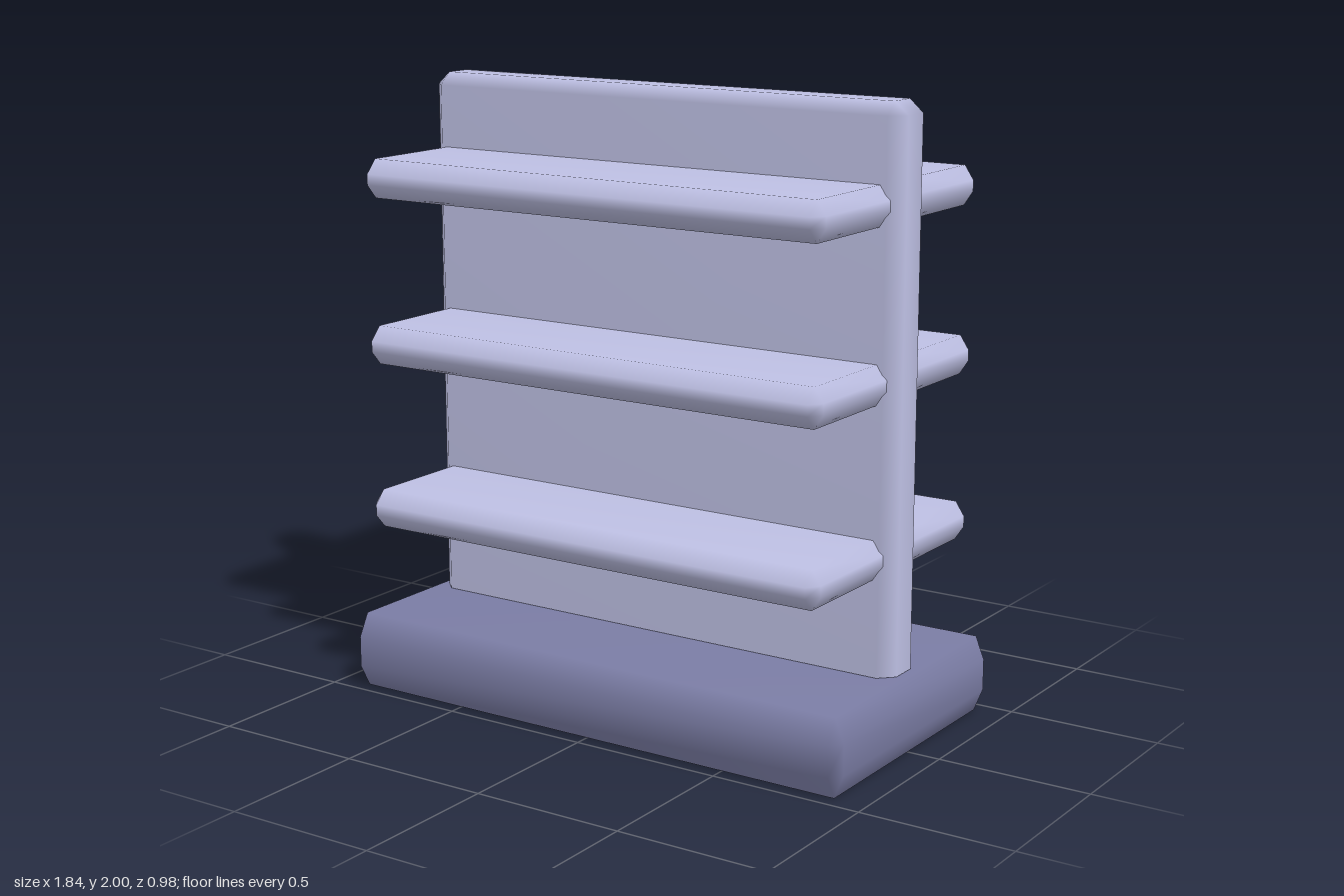
import * as THREE from 'three';

// Box with bevelled edges and softly blended normals.
// size and bevel are [x, y, z]; each corner owns one vertex per face axis.
// squareFoot drops the lower bevel; openBottom leaves out the bottom face.
function bevelBox(size, bevel, { squareFoot = false, openBottom = false } = {}) {
  const pos = [], index = [];
  for (let corner = 0; corner < 8; corner++) {
    const sign = [0, 1, 2].map(i => (corner >> i & 1 ? 1 : -1));
    for (let axis = 0; axis < 3; axis++) {
      for (let i = 0; i < 3; i++) {
        const full = i === axis || (squareFoot && i === 1 && sign[1] < 0);
        pos.push(sign[i] * (size[i] / 2 - (full ? 0 : bevel[i])));
      }
    }
  }
  const point = i => new THREE.Vector3().fromArray(pos, i * 3);
  // add a triangle facing away from the centre
  const tri = (a, b, c) => {
    const A = point(a), B = point(b), C = point(c);
    const n = B.clone().sub(A).cross(C.clone().sub(A));
    const out = n.dot(A.add(B).add(C)) > 0;
    index.push(a, out ? b : c, out ? c : b);
  };
  const quad = (a, b, c, d) => { tri(a, b, c); tri(a, c, d); };
  for (let axis = 0; axis < 3; axis++) {
    const u = (axis + 1) % 3, v = (axis + 2) % 3;
    const U = 1 << u, V = 1 << v, A = 1 << axis;
    // main faces
    for (const base of [0, A]) {
      if (openBottom && axis === 1 && base === 0) continue;
      const at = k => (base + k) * 3 + axis;
      quad(at(0), at(U), at(U + V), at(V));
    }
    // bevel strips running along this axis
    for (const k of [0, U, V, U + V]) {
      quad(k * 3 + u, (k + A) * 3 + u, (k + A) * 3 + v, k * 3 + v);
    }
  }
  // corner triangles
  for (let k = 0; k < 8; k++) tri(k * 3, k * 3 + 1, k * 3 + 2);

  const g = new THREE.BufferGeometry();
  g.setAttribute('position', new THREE.Float32BufferAttribute(pos, 3));
  g.setIndex(index);
  g.computeVertexNormals();
  return g;
}

export function createModel() {
  const group = new THREE.Group();
  group.name = 'shelfStand';

  const light = new THREE.MeshStandardMaterial({ color: 0xbec0e4 });
  light.name = 'pale lavender';
  const dark = new THREE.MeshStandardMaterial({ color: 0x7b7da5, side: THREE.DoubleSide });
  dark.name = 'slate lavender';

  const add = (name, geometry, y, z, material) => {
    const mesh = new THREE.Mesh(geometry, material);
    mesh.name = name;
    mesh.position.set(0, y, z);
    group.add(mesh);
  };

  // hollow plinth, open underneath
  add('base', bevelBox([1.84, 0.25, 0.98], [0.03, 0.075, 0.04], { openBottom: true }),
    0.125, 0, dark);

  // upright divider standing on the base
  add('backPanel', bevelBox([1.74, 1.748, 0.18], [0.045, 0.04, 0.045], { squareFoot: true }),
    1.126, 0, light);

  // three shelves on each side, ending inside the divider
  const shelf = bevelBox([1.67, 0.125, 0.47], [0.03, 0.045, 0.04]);
  for (const y of [0.622, 1.162, 1.697]) {
    add('frontShelf', shelf, y, 0.255, light);
    add('rearShelf', shelf, y, -0.255, light);
  }
  return group;
}
